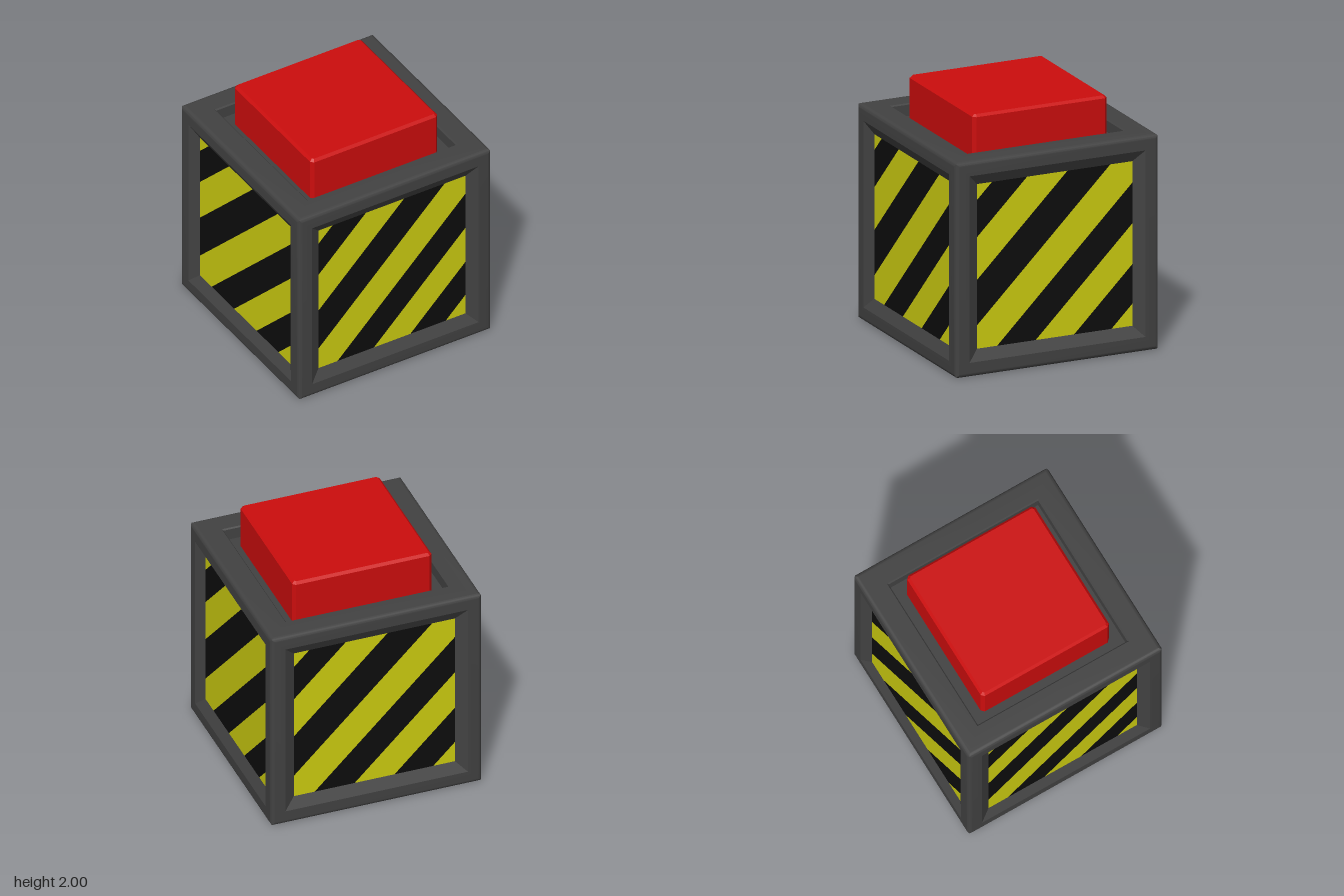
import * as THREE from 'three';
import { toCreasedNormals } from 'three/addons/utils/BufferGeometryUtils.js';

const HALF = 0.867;    // half size of the cube body
const ROUND = 0.035;   // edge rounding of the body
const PANEL = 0.662;   // half size of a striped panel
const RECESS = 0.05;   // how deep the striped panels sit

const material = (name, color) => {
  const m = new THREE.MeshStandardMaterial({ color });
  m.name = name;
  return m;
};

// Nested square rings [half size, depth], outermost first, facing +z.
function squareRings(rings) {
  const corners = [[1, 1], [-1, 1], [-1, -1], [1, -1]];
  const pos = [], index = [];
  for (const [half, depth] of rings)
    for (const [cx, cy] of corners) pos.push(cx * half, cy * half, HALF - depth);
  for (let r = 0; r < rings.length - 1; r++) {
    for (let i = 0; i < 4; i++) {
      const a = r * 4 + i, b = r * 4 + (i + 1) % 4;
      index.push(a, b, b + 4, a, b + 4, a + 4);
    }
  }
  const g = new THREE.BufferGeometry();
  g.setAttribute('position', new THREE.Float32BufferAttribute(pos, 3));
  g.setIndex(index);
  return toCreasedNormals(g, 0.4);
}

// Rounded border shared by all six faces: half of the edge arc, to the mitre
const border = [];
for (let i = 3; i >= 0; i--) {
  const a = (i / 3) * Math.PI / 4;
  border.push([HALF - ROUND + ROUND * Math.sin(a), ROUND * (1 - Math.cos(a))]);
}

// End points of the diagonal u - v = t across the square panel
const diagonal = (t) => t <= 0
  ? [[-PANEL, -PANEL - t], [PANEL + t, PANEL]]
  : [[-PANEL + t, -PANEL], [PANEL, PANEL - t]];

// Panel area lying between two diagonals
function stripeShape(t0, t1) {
  const [a0, a1] = diagonal(t0), [b0, b1] = diagonal(t1);
  const pts = [a0, a1];
  if (t0 < 0 && t1 > 0) pts.push([PANEL, PANEL]);
  pts.push(b1, b0);
  if (t0 < 0 && t1 > 0) pts.push([-PANEL, -PANEL]);
  const unique = pts.filter((p, i) => {
    const q = pts[(i + 1) % pts.length];
    return Math.hypot(p[0] - q[0], p[1] - q[1]) > 1e-5;
  });
  return new THREE.Shape(unique.map(([x, y]) => new THREE.Vector2(x, y)));
}

export function createModel() {
  const casing = material('dark grey casing', 0x424242);
  const yellow = material('warning yellow', 0xcccc10);
  const black = material('stripe black', 0x0d0d0d);
  const red = material('button red', 0xcc0d0d);

  const model = new THREE.Group();
  const add = (parent, name, geometry, mat) => {
    const mesh = new THREE.Mesh(geometry, mat);
    mesh.name = name;
    parent.add(mesh);
    return mesh;
  };

  const body = new THREE.Group();
  body.name = 'body';
  body.position.y = HALF;
  model.add(body);

  // Four sides: bevelled frame around a recessed striped panel
  const frame = squareRings([...border, [0.75, 0], [PANEL, RECESS]]);
  const cuts = [-2 * PANEL, -1.196, -0.897, -0.553, -0.188, 0.172, 0.5, 0.828, 1.146, 2 * PANEL];
  const shapes = [[], []];
  for (let i = 0; i < cuts.length - 1; i++) shapes[i % 2].push(stripeShape(cuts[i], cuts[i + 1]));
  const stripes = shapes.map((s) => new THREE.ShapeGeometry(s).translate(0, 0, HALF - RECESS));
  ['front', 'left', 'back', 'right'].forEach((side, i) => {
    const group = new THREE.Group();
    group.name = side + 'Side';
    group.rotation.y = i * Math.PI / 2;
    body.add(group);
    add(group, side + 'Frame', frame, casing);
    add(group, side + 'YellowStripes', stripes[0], yellow);
    add(group, side + 'BlackStripes', stripes[1], black);
  });

  // Top with the button well, and plain underside
  const top = squareRings([...border, [0.677, 0], [0.667, 0.01], [0.665, 0.1], [0, 0.1]]);
  add(body, 'topWell', top, casing).rotation.x = -Math.PI / 2;
  add(body, 'underside', squareRings([...border, [0, 0]]), casing).rotation.x = Math.PI / 2;

  // Square push button with chamfered edges, standing in the well
  const h = 0.552, c = 0.012, bevel = 0.02, bottom = 1.61;
  const outline = new THREE.Shape([
    [h, -h + c], [h, h - c], [h - c, h], [-h + c, h],
    [-h, h - c], [-h, -h + c], [-h + c, -h], [h - c, -h],
  ].map(([x, y]) => new THREE.Vector2(x, y)));
  const button = new THREE.ExtrudeGeometry(outline, {
    depth: 2 - bottom - 2 * bevel, bevelSize: bevel, bevelThickness: bevel, bevelSegments: 1,
  });
  button.rotateX(-Math.PI / 2).translate(0, bottom + bevel, 0);
  add(model, 'pushButton', button, red);

  return model;
}
